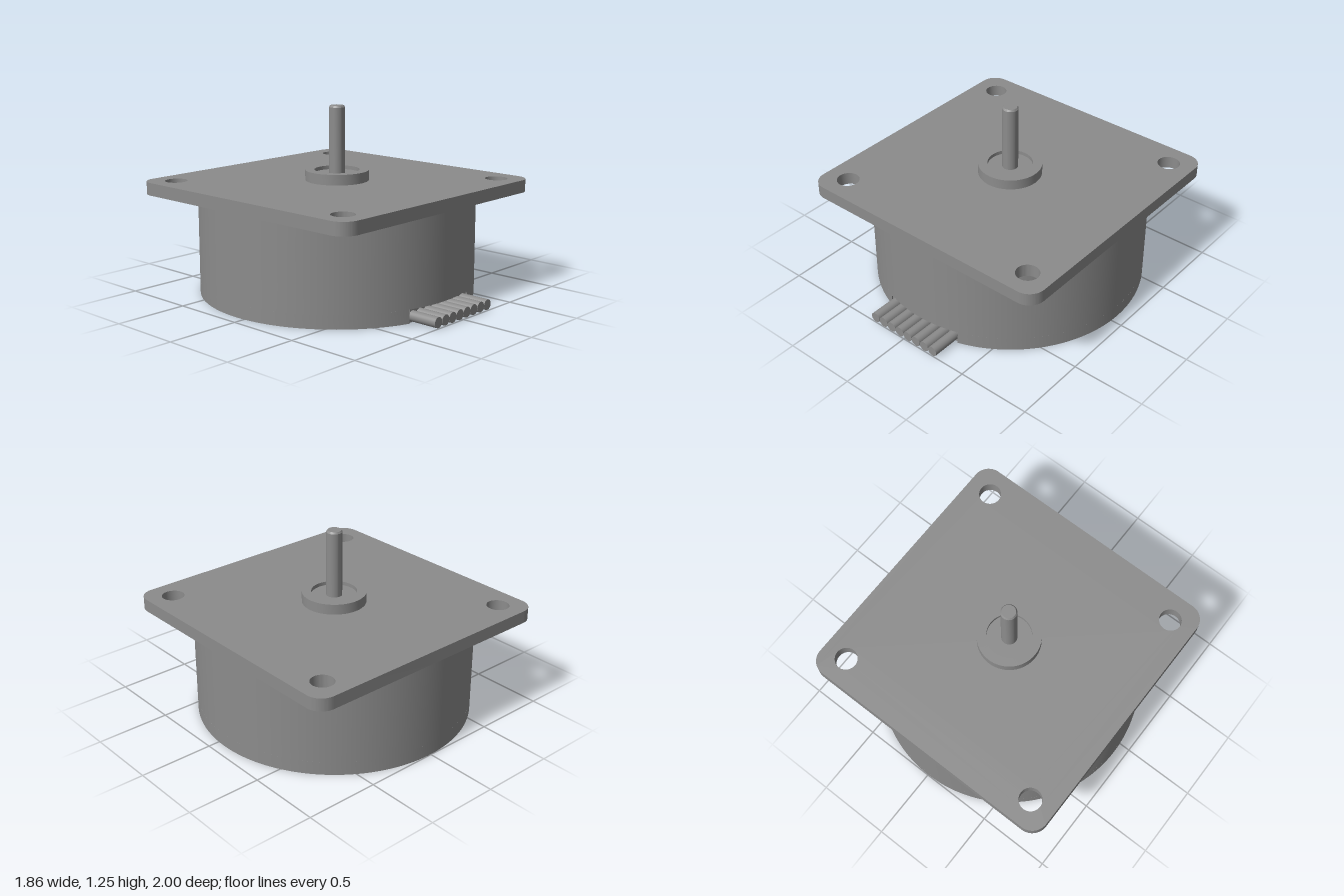
import * as THREE from 'three';
import { toCreasedNormals } from 'three/addons/utils/BufferGeometryUtils.js';

const steel = new THREE.MeshStandardMaterial({ color: 0x8c8c8c });
steel.name = 'grey steel';

const HALF = 0.928;      // half side of the mounting plate
const RADIUS = 0.925;    // body radius
const NOTCH_W = 0.29;    // half width of the cable notch
const NOTCH_H = 0.09;
const NOTCH_Z = 0.868;   // flat back wall of the notch

export function createModel() {
  const motor = new THREE.Group();
  motor.name = 'steppingMotor';

  const add = (name, geometry, x = 0, y = 0, z = 0) => {
    const mesh = new THREE.Mesh(geometry, steel);
    mesh.name = name;
    mesh.position.set(x, y, z);
    motor.add(mesh);
    return mesh;
  };

  // Extrudes a plan outline upwards (shape y becomes -z)
  const slab = (shape, height, curveSegments) => {
    const g = new THREE.ExtrudeGeometry(shape, { depth: height, bevelEnabled: false, curveSegments });
    g.rotateX(-Math.PI / 2);
    return toCreasedNormals(g, 0.5);
  };

  const lathe = (points, segments) => toCreasedNormals(
    new THREE.LatheGeometry(points.map(([r, y]) => new THREE.Vector2(r, y)), segments), 0.5);

  // Square plate with rounded corners and four screw holes
  const c = 0.11, k = HALF - c;
  const plate = new THREE.Shape();
  [[1, 1], [-1, 1], [-1, -1], [1, -1]].forEach(([sx, sy], i) => {
    plate.absarc(sx * k, sy * k, c, i * Math.PI / 2, (i + 1) * Math.PI / 2, false);
    const hole = new THREE.Path();
    hole.absarc(sx * 0.757, sy * 0.757, 0.075, 0, Math.PI * 2, true);
    plate.holes.push(hole);
  });
  plate.closePath();
  add('mountingPlate', slab(plate, 0.085, 24), 0, 0.66, 0);

  // Round body: full cylinder above, notched slice below
  const upperH = 0.70 - NOTCH_H;
  add('bodyUpper', new THREE.CylinderGeometry(RADIUS, RADIUS, upperH, 128), 0, NOTCH_H + upperH / 2, 0);

  const a = Math.asin(NOTCH_W / RADIUS);
  const slice = new THREE.Shape();
  slice.absarc(0, 0, RADIUS, -Math.PI / 2 + a, Math.PI * 1.5 - a, false);
  slice.lineTo(-NOTCH_W, -NOTCH_Z);
  slice.lineTo(NOTCH_W, -NOTCH_Z);
  slice.closePath();
  add('bodyLower', slab(slice, NOTCH_H, 112));

  // Small fillets in the upper corners of the notch
  for (const s of [-1, 1]) {
    const f = 0.03;
    const fillet = new THREE.Shape();
    fillet.moveTo(s * NOTCH_W, NOTCH_H);
    fillet.lineTo(s * NOTCH_W, NOTCH_H - f);
    fillet.quadraticCurveTo(s * NOTCH_W, NOTCH_H, s * (NOTCH_W - f), NOTCH_H);
    fillet.closePath();
    add('notchFillet', new THREE.ExtrudeGeometry(fillet, { depth: 0.012, bevelEnabled: false }), 0, 0, NOTCH_Z);
  }

  // Pilot boss with a shallow recess
  add('pilotBoss', lathe([[0.213, 0.74], [0.213, 0.815], [0.151, 0.815], [0.151, 0.79], [0, 0.79]], 64));

  // Output shaft with a chamfered tip
  add('shaft', lathe([[0.053, 0.78], [0.053, 1.233], [0.045, 1.245], [0, 1.245]], 40));

  // Row of eight lead wires leaving the notch
  const wire = new THREE.CylinderGeometry(0.035, 0.035, 0.222, 24);
  wire.rotateX(Math.PI / 2);
  for (let i = 0; i < 8; i++) {
    add('leadWire', wire, (i - 3.5) * 0.0715, 0.04, 0.961);
  }

  // The wires stick out in front, so the motor sits slightly back
  motor.position.z = -0.072;
  const model = new THREE.Group();
  model.name = 'motorModel';
  model.add(motor);
  return model;
}
